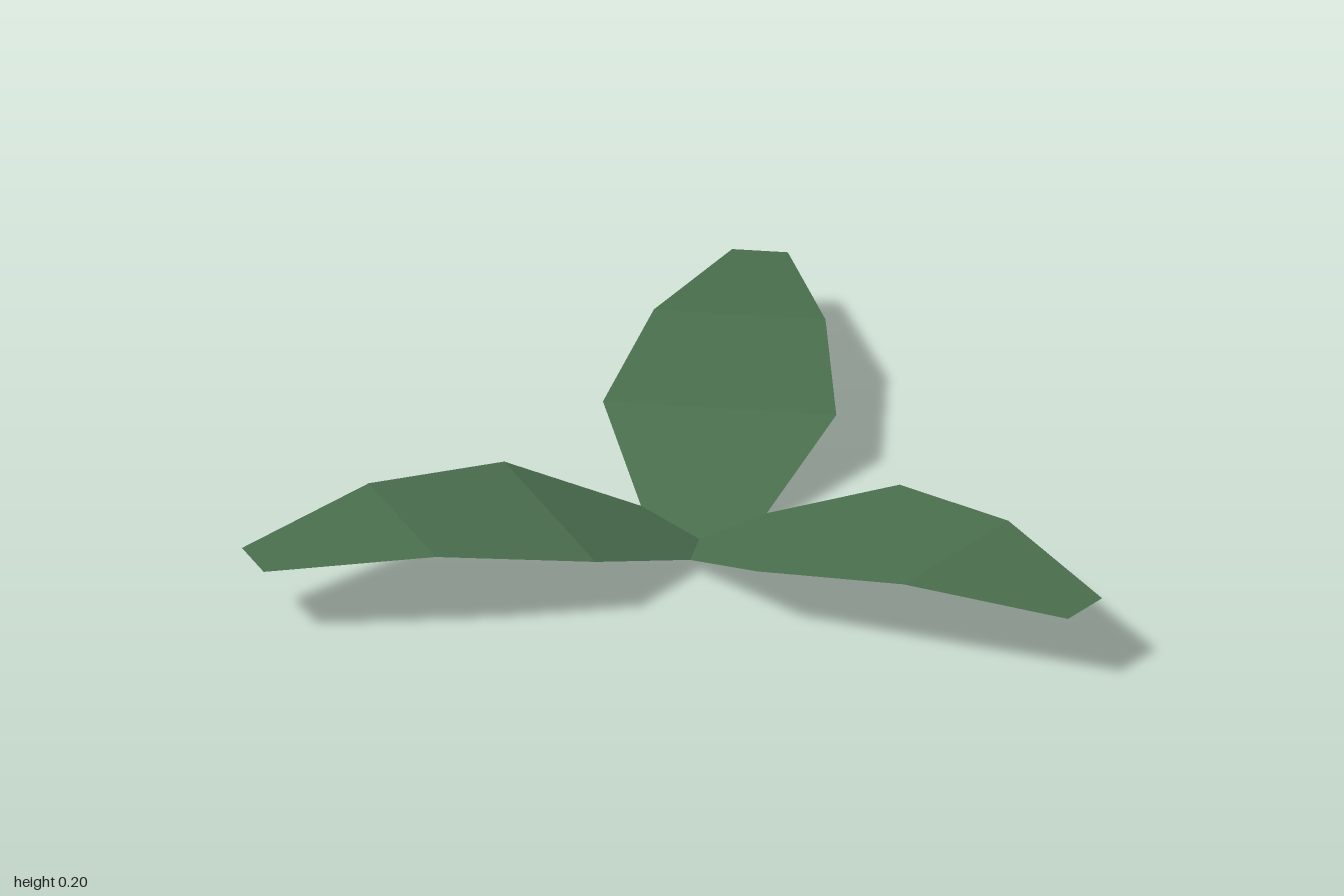
import * as THREE from 'three';

// Leaf cross-sections from base to tip: distance out, height, half width
const SECTIONS = [
  [0, 0, 0.11],
  [0.375, 0.147, 0.272],
  [0.745, 0.2, 0.2],
  [1.12, 0.172, 0.065],
];

// A flat strip bent and tapered to follow the sections, growing along +x
function leafGeometry() {
  const geometry = new THREE.PlaneGeometry(1, 1, SECTIONS.length - 1, 1).rotateX(-Math.PI / 2);
  const p = geometry.attributes.position;
  for (let i = 0; i < p.count; i++) {
    const [out, height, half] = SECTIONS[Math.round((p.getX(i) + 0.5) * (SECTIONS.length - 1))];
    p.setXYZ(i, out, height, Math.sign(p.getZ(i)) * half);
  }
  geometry.computeVertexNormals();
  return geometry;
}

export function createModel() {
  const model = new THREE.Group();
  model.name = 'threeLeafPlant';

  const leafGreen = new THREE.MeshStandardMaterial({
    color: 0x4a6f4e, flatShading: true, side: THREE.DoubleSide,
  });
  leafGreen.name = 'leafGreen';

  // Three leaves spread evenly around the stem point
  const geometry = leafGeometry();
  for (let i = 0; i < 3; i++) {
    const leaf = new THREE.Mesh(geometry, leafGreen);
    leaf.name = `leaf${i + 1}`;
    leaf.position.x = -0.255;
    leaf.rotation.y = (i * Math.PI * 2) / 3;
    model.add(leaf);
  }
  return model;
}
